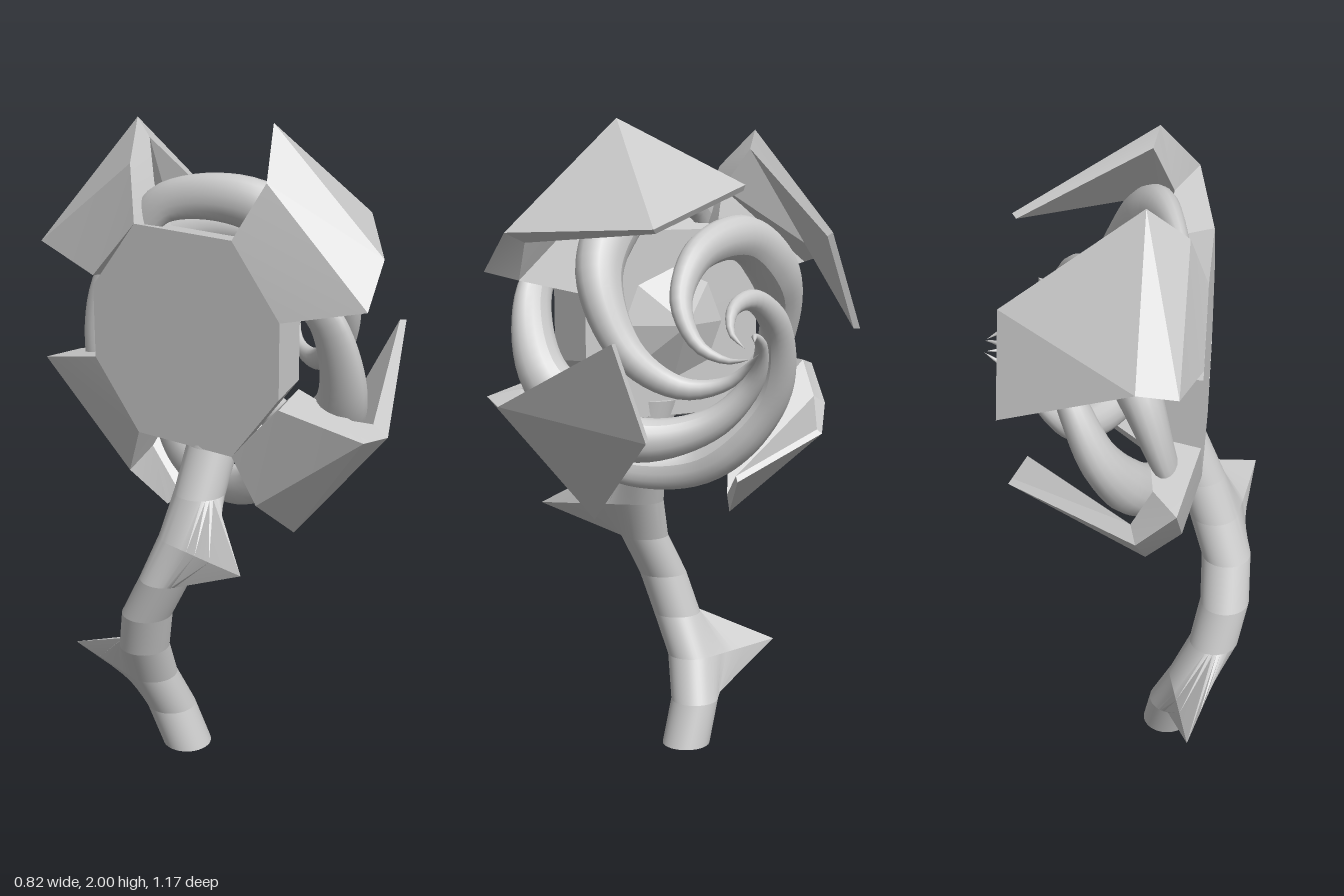
import * as THREE from 'three';
import { toCreasedNormals } from 'three/addons/utils/BufferGeometryUtils.js';

const material = new THREE.MeshStandardMaterial({ color: 0xcccccc });
const flat = new THREE.MeshStandardMaterial({ color: 0xcccccc, flatShading: true });

function addMesh(parent, name, geometry, mat) {
  const mesh = new THREE.Mesh(geometry, mat);
  mesh.name = name;
  parent.add(mesh);
  return mesh;
}

// Closed solid through rings of [x, y, z], counter-clockwise seen against the loft direction
function loft(rings, crease) {
  const n = rings[0].length, last = (rings.length - 1) * n, index = [];
  for (let r = 0; r < rings.length - 1; r++) {
    for (let i = 0; i < n; i++) {
      const a = r * n + i, b = r * n + (i + 1) % n;
      index.push(a, b, b + n, a, b + n, a + n);
    }
  }
  for (let i = 1; i < n - 1; i++) {
    index.push(0, i + 1, i, last, last + i, last + i + 1);
  }
  const g = new THREE.BufferGeometry();
  g.setAttribute('position', new THREE.Float32BufferAttribute(rings.flat(2), 3));
  g.setIndex(index);
  return toCreasedNormals(g, crease);
}

// Petal edges from base to tip as [clockwise z, y, counter-clockwise z, y]
const petalX = [-0.25, -0.2, -0.088, 0.305];
const innerX = [-0.1, -0.13, -0.07, 0.295];
const innerScale = [0.9, 0.86, 0.9, 0.96];
const petalEdges = [
  [[0.17, 0.315, 0.33, 0.11], [0.25, 0.473, 0.575, 0.17],
    [0.195, 0.612, 0.555, 0.287], [-0.01, 0.423, 0.28, 0.305]],
  [[-0.33, 0.14, -0.17, 0.315], [-0.575, 0.198, -0.22, 0.473],
    [-0.586, 0.213, -0.28, 0.583], [-0.41, 0, -0.307, 0.285]],
];

function petalGeometry(edges) {
  return loft(edges.map(([z1, y1, z2, y2], i) => {
    const k = innerScale[i];
    return [
      [petalX[i], y1, z1], [petalX[i], y2, z2],
      [innerX[i], y2 * k, z2 * k], [innerX[i], y1 * k, z1 * k],
    ];
  }), 0.25);
}

// Crescent tendril that spirals in towards its tip, flattened along the flower's axis
function tendrilGeometry() {
  // phase in degrees, distance from axis, x
  const path = [[-15, 0.38, -0.2], [5, 0.425, -0.17], [40, 0.42, -0.085], [80, 0.35, 0.035],
    [120, 0.25, 0.14], [160, 0.17, 0.22], [200, 0.105, 0.29], [240, 0.055, 0.35], [275, 0.025, 0.41]];
  const curve = new THREE.CatmullRomCurve3(path.map(([deg, r, x]) => {
    const a = THREE.MathUtils.degToRad(deg);
    return new THREE.Vector3(x, r * Math.sin(a), -r * Math.cos(a));
  }));
  const rows = 48, sides = 16;
  const g = new THREE.TubeGeometry(curve, rows, 1, sides);
  const p = g.attributes.position, v = new THREE.Vector3();
  for (let i = 0; i <= rows; i++) {
    const t = i / rows, c = curve.getPointAt(t);
    const radius = 0.083 * Math.min(1, 0.55 + 1.3 * t) * Math.pow(Math.min(1, (1 - t) / 0.6), 0.85);
    const flatten = Math.min(0.8, 0.35 + 1.4 * t);
    for (let j = 0; j <= sides; j++) {
      const k = i * (sides + 1) + j;
      v.fromBufferAttribute(p, k).sub(c).multiplyScalar(radius);
      v.x *= flatten;
      v.add(c);
      p.setXYZ(k, v.x, v.y, v.z);
    }
  }
  g.computeVertexNormals();
  return g;
}

// Rings of the jointed stem; two are drawn out along their tangents into thorns
function stemRings() {
  const sides = 39, radius = 0.077;
  const joints = [[-0.157, 0, -0.075], [-0.18, 0.135, -0.12], [-0.243, 0.27, -0.142],
    [-0.305, 0.4, -0.122], [-0.333, 0.535, -0.085], [-0.33, 0.67, -0.015],
    [-0.285, 0.8, 0.025], [-0.235, 0.93, 0.045], [-0.175, 1.07, 0.05], [-0.16, 1.15, 0.04]];
  const thorns = { 2: [-0.243, -0.462], 6: [-0.412, 0.32] };
  return joints.map(([cx, y, cz], i) => {
    const ring = [];
    for (let j = 0; j < sides; j++) {
      const a = Math.PI / 2 + j / sides * Math.PI * 2;
      let r = radius;
      if (thorns[i]) {
        const [tx, tz] = thorns[i];
        const dir = Math.atan2(cz - tz, tx - cx);
        const off = Math.abs(Math.atan2(Math.sin(a - dir), Math.cos(a - dir)));
        const tangent = Math.acos(radius / Math.hypot(tx - cx, tz - cz));
        if (off < tangent) r = radius / Math.cos(tangent - off);
      }
      ring.push([cx + r * Math.cos(a), y, cz - r * Math.sin(a)]);
    }
    return ring;
  });
}

export function createModel() {
  const model = new THREE.Group();
  model.name = 'plant';

  // Stem, one smooth segment between each pair of rings
  const stem = new THREE.Group();
  stem.name = 'stem';
  model.add(stem);
  const rings = stemRings();
  for (let i = 1; i < rings.length; i++) {
    addMesh(stem, 'stemSegment', loft([rings[i - 1], rings[i]], 0.8), material);
  }

  const flower = new THREE.Group();
  flower.name = 'flower';
  flower.position.y = 1.3875;
  model.add(flower);

  // Octagonal back plate with a pointed core
  const corners = [[-0.33, 0.11], [-0.17, 0.315], [0.17, 0.315], [0.33, 0.11],
    [0.33, -0.11], [0.17, -0.315], [-0.17, -0.315], [-0.33, -0.11]];
  const plate = [[-0.25, 1], [-0.1, 0.9]].map(([x, k]) => corners.map(([z, y]) => [x, y * k, z * k]));
  addMesh(flower, 'backPlate', loft(plate, 0.1), material);
  const core = addMesh(flower, 'core', new THREE.ConeGeometry(0.17, 0.09, 8), flat);
  core.rotation.z = -Math.PI / 2;
  core.position.x = -0.055;

  // Two petal shapes, each repeated half a turn round
  for (const edges of petalEdges) {
    const geometry = petalGeometry(edges);
    for (const turn of [0, Math.PI]) {
      addMesh(flower, 'petal', geometry, material).rotation.x = turn;
    }
  }

  // Four spiral tendrils, rooted between the petals around a slightly offset axis
  const tendril = tendrilGeometry();
  for (let i = 0; i < 4; i++) {
    const mesh = addMesh(flower, 'tendril', tendril, material);
    mesh.position.set(0, -0.03, 0.028);
    mesh.rotation.x = THREE.MathUtils.degToRad(65 + i * 90);
  }
  return model;
}
